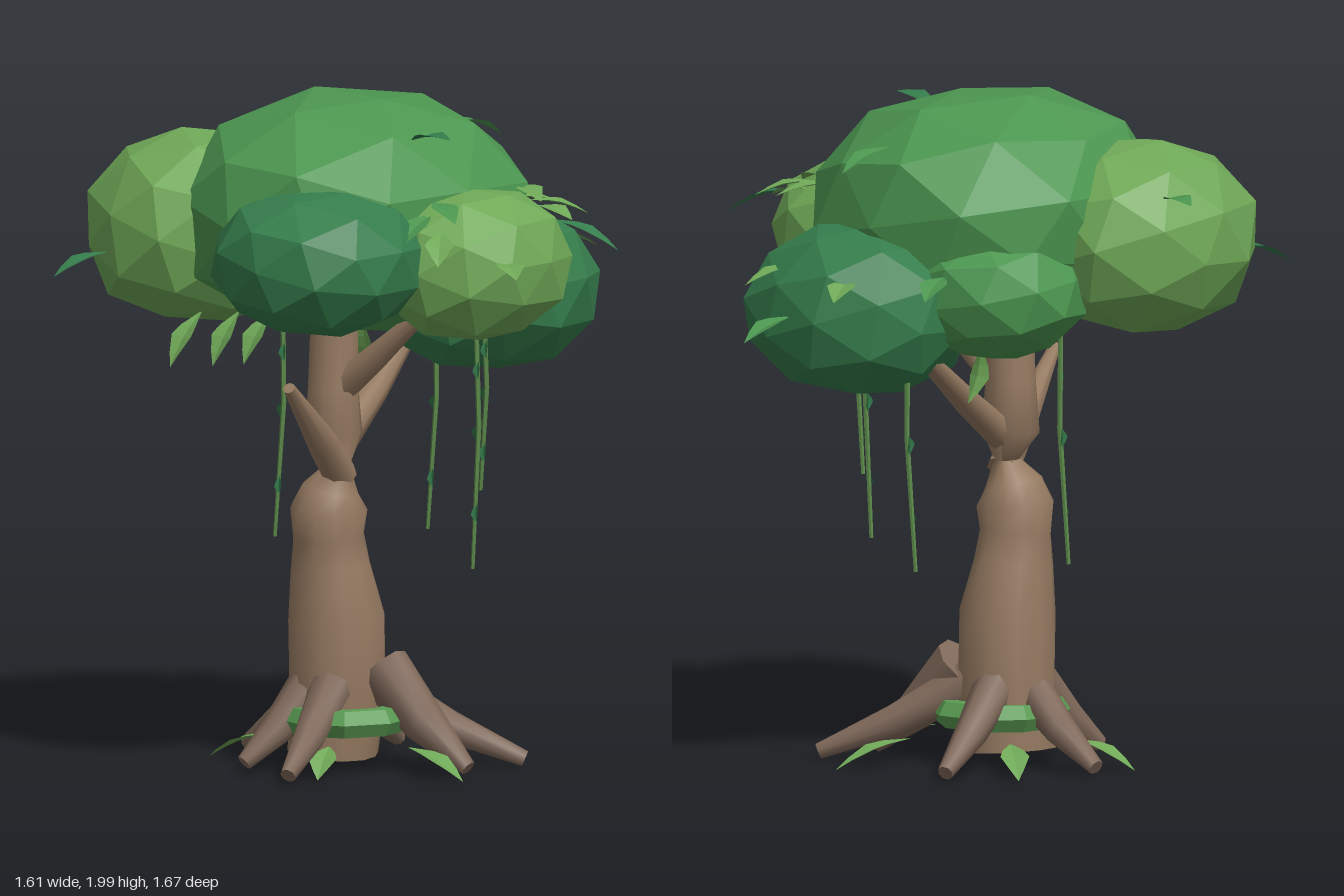
import * as THREE from 'three';
import { toCreasedNormals } from 'three/addons/utils/BufferGeometryUtils.js';

const BARK = 0x957a61, ROOT = 0x80695a, MID = 0x4c9650, LIGHT = 0x6fa857, DARK = 0x357d4c, VINE = 0x5c8a4a;

const vec = (p) => new THREE.Vector3(p[0], p[1], p[2]);

function indexed(positions, index) {
  const g = new THREE.BufferGeometry();
  g.setAttribute('position', new THREE.Float32BufferAttribute(positions, 3));
  g.setIndex(index);
  g.computeVertexNormals();
  return g;
}

function add(parent, name, geometry, color, flatShading = true) {
  const material = new THREE.MeshStandardMaterial({ color, flatShading, side: THREE.DoubleSide });
  const mesh = new THREE.Mesh(geometry, material);
  mesh.name = name;
  parent.add(mesh);
  return mesh;
}

// Closed limb through sections [x, y, z, radius], smooth around its length
function loft(sections, sides, wobble = 0) {
  const pts = sections.map(vec), n = pts.length;
  const axis = pts[n - 1].clone().sub(pts[0]).normalize();
  const ref = Math.abs(axis.z) > 0.75 ? new THREE.Vector3(1, 0, 0) : new THREE.Vector3(0, 0, 1);
  const pos = [], idx = [];
  sections.forEach((s, i) => {
    const d = pts[Math.min(i + 1, n - 1)].clone().sub(pts[Math.max(i - 1, 0)]).normalize();
    const u = new THREE.Vector3().crossVectors(ref, d).normalize();
    const v = new THREE.Vector3().crossVectors(d, u);
    for (let j = 0; j < sides; j++) {
      const a = (j / sides) * Math.PI * 2;
      const r = s[3] * (1 + wobble * Math.sin(a * 3 + i * 1.7));
      const p = pts[i].clone().addScaledVector(u, r * Math.cos(a)).addScaledVector(v, r * Math.sin(a));
      pos.push(p.x, p.y, p.z);
      if (i < n - 1) {
        const k = (j + 1) % sides, A = i * sides, B = A + sides;
        idx.push(A + j, A + k, B + k, A + j, B + k, B + j);
      }
    }
  });
  const last = (n - 1) * sides;
  for (let j = 1; j < sides - 1; j++) idx.push(0, j + 1, j, last, last + j, last + j + 1);
  return toCreasedNormals(indexed(pos, idx), 1.1);
}

// Faceted foliage clump: a tilted icosphere, slightly boxy and uneven
function clump([x, y, z], [rx, ry, rz], [tiltZ, turnY], seed) {
  const g = new THREE.IcosahedronGeometry(1, 1).rotateZ(tiltZ).rotateY(turnY);
  const p = g.attributes.position, v = new THREE.Vector3(), e = 2.3;
  for (let i = 0; i < p.count; i++) {
    v.fromBufferAttribute(p, i);
    const full = (Math.abs(v.x) ** e + Math.abs(v.y) ** e + Math.abs(v.z) ** e) ** (-1 / e);
    const k = full * (1 + 0.025 * Math.sin(v.x * 5 + seed) * Math.cos(v.y * 4 + v.z * 6 + seed * 2));
    p.setXYZ(i, v.x * k * rx + x, v.y * k * ry + y, v.z * k * rz + z);
  }
  return g;
}

// Folded pointed leaf running from base to tip
function leaf(base, tip, width) {
  const b = vec(base), t = vec(tip), d = t.clone().sub(b);
  const len = d.length();
  d.normalize();
  const ref = Math.abs(d.y) > 0.8 ? new THREE.Vector3(0, 0, 1) : new THREE.Vector3(0, 1, 0);
  const side = new THREE.Vector3().crossVectors(d, ref).normalize();
  const up = new THREE.Vector3().crossVectors(side, d);
  const rows = [[0, 0.08], [0.3, 0.75], [0.5, 1], [0.78, 0.5], [1, 0.02]];
  const pos = [], idx = [];
  rows.forEach(([s, w], i) => {
    const arch = Math.sin(s * Math.PI) * len * 0.06;
    for (const e of [-1, 0, 1]) {
      const p = b.clone().addScaledVector(d, s * len).addScaledVector(side, (e * w * width) / 2)
        .addScaledVector(up, arch + Math.abs(e) * w * width * 0.12);
      pos.push(p.x, p.y, p.z);
    }
    if (i < rows.length - 1) for (const c of [0, 1]) {
      const a = i * 3 + c;
      idx.push(a, a + 1, a + 4, a, a + 4, a + 3);
    }
  });
  return indexed(pos, idx);
}

export function createModel() {
  const tree = new THREE.Group();
  tree.name = 'tree';

  // Trunk with a pinched neck
  add(tree, 'trunk', loft([
    [-0.045, 0.05, 0.13, 0.135], [-0.03, 0.22, 0.13, 0.143], [-0.025, 0.45, 0.133, 0.143],
    [-0.03, 0.6, 0.15, 0.118], [-0.032, 0.69, 0.16, 0.105], [-0.027, 0.77, 0.165, 0.115],
    [-0.02, 0.83, 0.16, 0.085], [-0.003, 0.9, 0.15, 0.038], [-0.024, 0.99, 0.15, 0.086],
    [-0.022, 1.13, 0.15, 0.075], [-0.02, 1.27, 0.145, 0.072], [-0.01, 1.5, 0.14, 0.055]], 12, 0.03), BARK, false);

  // Branches
  const branches = [
    [[0, 0.87, 0.14, 0.05], [0.06, 0.98, 0.26, 0.047], [0.16, 1.18, 0.48, 0.018]],
    [[-0.01, 0.97, 0.13, 0.05], [-0.08, 1.09, -0.06, 0.042], [-0.22, 1.3, -0.38, 0.025]],
    [[0, 1.13, 0.14, 0.05], [0.12, 1.23, 0.11, 0.04], [0.32, 1.4, 0.07, 0.02]]];
  for (const b of branches) add(tree, 'branch', loft(b, 8), BARK, false);

  // Roots: trunk side to tip, sagging towards the ground
  const roots = [
    [[-0.1, 0.25, 0.14], [-0.4, 0.035, 0.15]], [[-0.05, 0.25, 0.22], [-0.095, 0.04, 0.43]],
    [[0.04, 0.26, 0.21], [0.15, 0.035, 0.475]], [[0.08, 0.3, 0.05], [0.365, 0.03, -0.035]],
    [[0.05, 0.25, 0.05], [0.36, 0.035, -0.26]], [[-0.07, 0.25, 0.05], [-0.19, 0.035, -0.25]]];
  roots.forEach(([a, b], i) => {
    const r = i === 3 ? 0.085 : 0.064;
    const mid = a.map((v, k) => v * 0.5 + b[k] * 0.5 - (k === 1 ? 0.015 : 0));
    add(tree, 'root', loft([[...a, r], [...mid, r * 0.75], [...b, 0.024]], 8), ROOT, false);
  });

  // Moss ring around the base
  const moss = add(tree, 'mossRing', new THREE.TorusGeometry(0.165, 0.045, 6, 9).rotateX(Math.PI / 2), 0x5a9c52);
  moss.position.set(0, 0.16, 0.13);

  // Canopy: centre, radii, tilt and turn, colour
  const clumps = [
    [[-0.005, 1.645, 0.09], [0.485, 0.355, 0.52], [0.3, 0.1], MID],
    [[-0.385, 1.585, 0.335], [0.32, 0.285, 0.345], [0.2, 0.5], LIGHT],
    [[0.445, 1.535, 0.02], [0.265, 0.225, 0.295], [0.1, 0.3], LIGHT],
    [[0.27, 1.565, 0.46], [0.31, 0.215, 0.305], [0.25, 0.2], DARK],
    [[0.05, 1.39, -0.37], [0.335, 0.25, 0.315], [0.15, 0.4], DARK],
    [[-0.23, 1.45, -0.1], [0.28, 0.2, 0.265], [0.3, 0.7], MID]];
  clumps.forEach(([c, r, tilt, color], i) => add(tree, 'foliage', clump(c, r, tilt, i * 1.3), color));

  // Vines with small leaves: top and bottom
  const vines = [
    [[-0.335, 1.36, 0.07], [-0.37, 0.64, 0.07]], [[-0.15, 1.36, -0.36], [-0.185, 0.64, -0.36]],
    [[0.37, 1.4, -0.09], [0.335, 0.84, -0.11]], [[0.45, 1.4, 0.01], [0.425, 0.63, 0]]];
  for (const [a, b] of vines) {
    const at = (t, dx) => a.map((v, k) => v + (b[k] - v) * t + (k === 0 ? dx : 0));
    add(tree, 'vine', loft([[...a, 0.008], [...at(0.45, 0.02), 0.008], [...b, 0.006]], 5), VINE, false);
    [0.2, 0.45, 0.75].forEach((t, i) => {
      const p = at(t, 0.012), s = i % 2 ? -1 : 1;
      add(tree, 'vineLeaf', leaf(p, [p[0] + s * 0.025, p[1] - 0.05, p[2] + s * 0.02], 0.036), DARK);
    });
  }

  // Loose leaves on the canopy: base, tip, colour
  const leaves = [
    [[0.025, 1.4, -0.66], [0.025, 1.34, -0.84], MID], [[-0.02, 1.87, -0.32], [-0.02, 1.81, -0.5], MID],
    [[-0.12, 1.51, -0.56], [-0.2, 1.47, -0.69], LIGHT], [[-0.13, 1.45, -0.58], [-0.26, 1.42, -0.5], DARK],
    [[0.11, 1.53, -0.56], [0.17, 1.48, -0.71], LIGHT], [[-0.34, 1.53, -0.39], [-0.41, 1.48, -0.52], MID],
    [[-0.66, 1.74, 0.19], [-0.81, 1.74, 0.16], MID], [[0.37, 1.7, -0.18], [0.46, 1.67, -0.34], LIGHT],
    [[0.45, 1.7, -0.2], [0.56, 1.66, -0.33], LIGHT], [[0.45, 1.68, -0.23], [0.58, 1.65, -0.25], LIGHT],
    [[0.36, 1.73, -0.23], [0.5, 1.7, -0.2], LIGHT], [[0.58, 1.66, -0.17], [0.76, 1.58, -0.27], DARK],
    [[0.67, 1.57, 0.09], [0.8, 1.54, 0.16], LIGHT], [[0.47, 1.7, 0.2], [0.53, 1.62, 0.38], MID],
    [[0.46, 1.73, 0.18], [0.61, 1.69, 0.23], MID], [[0.57, 1.66, 0.25], [0.66, 1.58, 0.34], LIGHT],
    [[0.34, 1.9, 0.16], [0.52, 1.92, 0.17], DARK], [[-0.44, 1.53, 0.66], [-0.48, 1.47, 0.83], DARK],
    [[-0.08, 1.39, 0.61], [-0.08, 1.24, 0.73], LIGHT], [[0.04, 1.4, 0.57], [0.04, 1.25, 0.67], LIGHT],
    [[0.12, 1.4, 0.52], [0.12, 1.26, 0.62], LIGHT], [[-0.2, 1.28, -0.12], [-0.2, 1.12, -0.17], LIGHT]];
  for (const [b, t, color] of leaves) add(tree, 'leaf', leaf(b, t, 0.085), color);

  // Leaves lying around the base
  const ground = [[-0.4, 0.3], [0.15, 0.36], [0.45, 0.06], [0.18, -0.35], [-0.32, -0.08]];
  for (const [x, z] of ground)
    add(tree, 'groundLeaf', leaf([x * 0.55, 0.09, 0.13 + (z - 0.13) * 0.55], [x, 0.01, z], 0.085), LIGHT);

  return tree;
}
